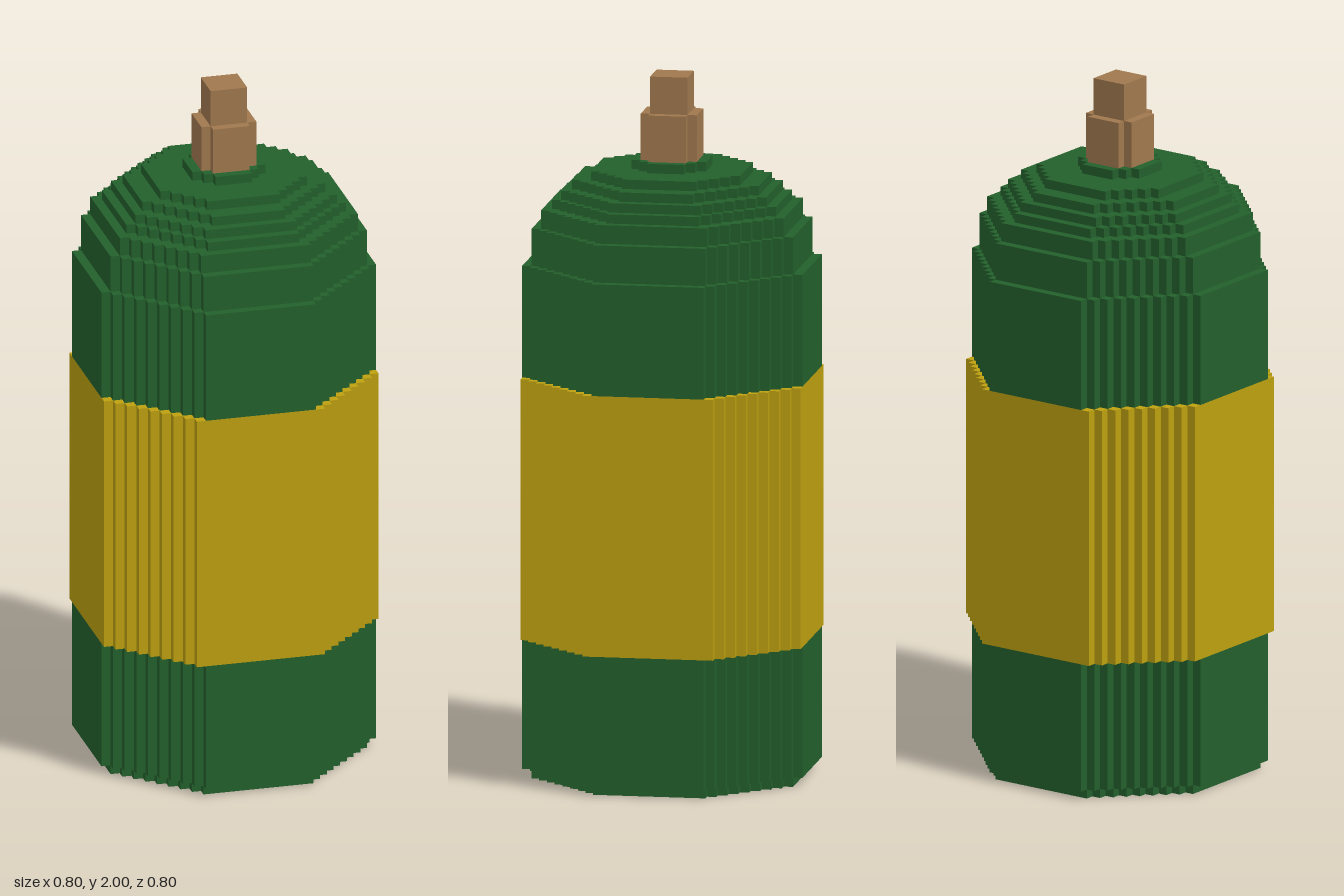
import * as THREE from 'three';

const V = 2 / 75; // size of one voxel

// Stepped octagon: r = half width, s = limit of the diagonal (row + width), in voxels
function steppedOctagon(r, s) {
  const quarter = [];
  let last = 0;
  for (let k = r - 1; k >= 0; k--) {
    const w = Math.min(r, s - k);
    if (w === last) continue;
    // outer corner of each step, then the inner corner below it
    if (last) quarter.push([last, k + 1]);
    quarter.push([w, k + 1]);
    last = w;
  }
  // quarter runs clockwise from the +y side to the +x side; turn it four times
  const points = [];
  for (let q = 0; q < 4; q++) {
    for (const [x, y] of quarter) {
      const [a, b] = [[x, y], [y, -x], [-x, -y], [-y, x]][q];
      points.push(new THREE.Vector2(a * V, b * V));
    }
  }
  return new THREE.Shape(points.reverse());
}

export function createModel() {
  const group = new THREE.Group();
  const green = new THREE.MeshStandardMaterial({ name: 'green', color: 0x23602c });
  const yellow = new THREE.MeshStandardMaterial({ name: 'yellow', color: 0xbda010 });
  const brown = new THREE.MeshStandardMaterial({ name: 'brown', color: 0xa0784e });

  // name, material, half width, diagonal limit, bottom and top layer
  const layers = [
    ['base', green, 14, 19, 0, 1],
    ['lowerBody', green, 15, 20, 1, 15],
    ['labelBand', yellow, 15, 21, 15, 43],
    ['upperBody', green, 15, 20, 43, 55],
    // stepped shoulder
    ['shoulder1', green, 14, 19, 55, 59],
    ['shoulder2', green, 13, 18, 59, 61],
    ['shoulder3', green, 12, 16, 61, 62],
    ['shoulder4', green, 11, 15, 62, 63],
    ['shoulder5', green, 10, 13, 63, 64],
    ['shoulder6', green, 8, 11, 64, 65],
    ['collar', green, 4, 5, 65, 66],
    // stopper
    ['stopperBase', brown, 3, 4, 66, 71],
    ['stopperTop', brown, 2, 4, 71, 75],
  ];

  for (const [name, material, r, s, y0, y1] of layers) {
    const geometry = new THREE.ExtrudeGeometry(steppedOctagon(r, s), {
      depth: (y1 - y0) * V, bevelEnabled: false,
    });
    geometry.rotateX(-Math.PI / 2);
    const mesh = new THREE.Mesh(geometry, material);
    mesh.name = name;
    mesh.position.y = y0 * V;
    group.add(mesh);
  }
  return group;
}
